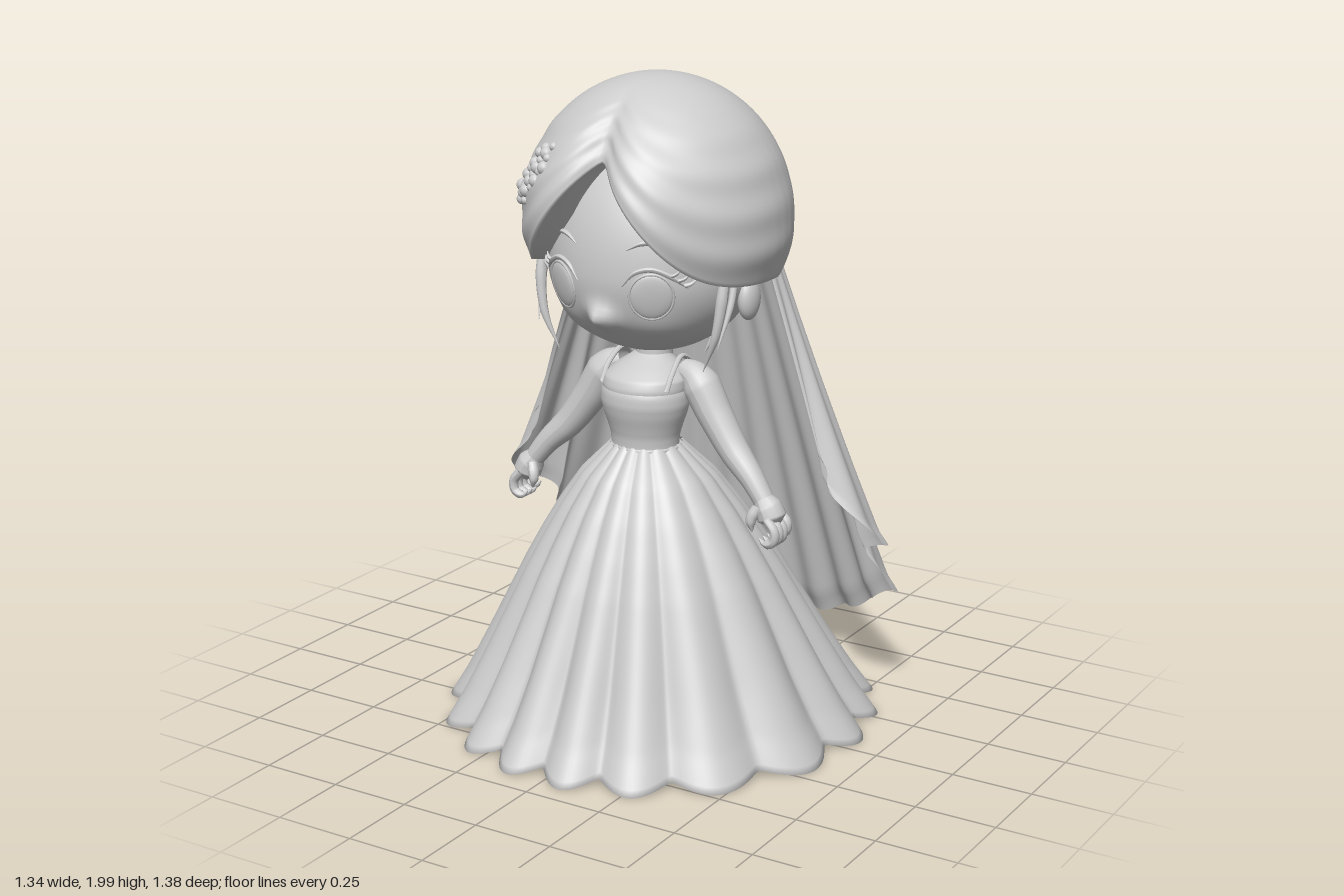
import * as THREE from 'three';
import { mergeVertices } from 'three/addons/utils/BufferGeometryUtils.js';

const V = (x, y, z) => new THREE.Vector3(x, y, z);
const { sin, cos, abs, exp, sqrt, PI, min, max } = Math;
const step = THREE.MathUtils.smoothstep;

// Linear lookup in an evenly spaced list
function along(list, t) {
  const f = min(max(t, 0), 1) * (list.length - 1), i = min(Math.floor(f), list.length - 2);
  return list[i] + (list[i + 1] - list[i]) * (f - i);
}

// Smooth grid surface from a rule fn(u, v) -> point
function surface(fn, nu, nv) {
  const pos = [], idx = [];
  for (let j = 0; j <= nv; j++) for (let i = 0; i <= nu; i++) pos.push(...fn(i / nu, j / nv).toArray());
  for (let j = 0; j < nv; j++) for (let i = 0; i < nu; i++) {
    const a = j * (nu + 1) + i, b = a + nu + 1;
    idx.push(a, b, a + 1, b, b + 1, a + 1);
  }
  const g = new THREE.BufferGeometry();
  g.setAttribute('position', new THREE.Float32BufferAttribute(pos, 3));
  g.setIndex(idx);
  const m = mergeVertices(g, 1e-5);
  m.computeVertexNormals();
  return m;
}

// Tube whose radius follows a list
function taper(points, radii, n = 24, sides = 14) {
  const curve = new THREE.CatmullRomCurve3(points);
  const g = new THREE.TubeGeometry(curve, n, 1, sides), p = g.attributes.position, q = V(0, 0, 0);
  for (let k = 0; k < p.count; k++) {
    const t = Math.floor(k / (sides + 1)) / n, c = curve.getPointAt(t);
    q.fromBufferAttribute(p, k).sub(c).multiplyScalar(along(radii, t)).add(c);
    p.setXYZ(k, q.x, q.y, q.z);
  }
  g.computeVertexNormals();
  return g;
}

const ball = (x, y, z, rx, ry, rz) => new THREE.SphereGeometry(1, 28, 20).scale(rx, ry, rz).translate(x, y, z);

// Front surface of the face at x, y
const faceZ = (x, y) => 0.05 + 0.3 * sqrt(max(0, 1 - (x / 0.315) ** 2 - ((y - 1.45) / (y > 1.45 ? 0.4 : 0.27)) ** 2));

// Hair cap point: longitude a (0 is the front), v 0..1 from crown to hem, above 1 the turned-in rim
function hairPoint(a, v) {
  const d = abs(a) * 180 / PI;
  const hemY = 1.42 + 0.36 * exp(-((d / 30) ** 1.6)) - 0.05 * step(d, 90, 160);
  const w = min(v, 1), c = w * Math.acos((hemY - 1.6) / 0.4);
  const front = 1 - step(d, 70, 130);
  let s = 1 - 0.13 * exp(-((d / 9) ** 2)) * step(c, 0.1, 1.1);
  s += 0.035 * step(w, 0.6, 1) * step(d, 15, 70) * (1 - step(d, 110, 150));
  s += 0.05 * exp(-(((d - 24) / 16) ** 2)) * step(w, 0.35, 0.8);
  s += 0.007 * front * step(w, 0.25, 0.6) * sin(w * 42 + d * 0.03) + 0.003 * (1 - front) * sin(d * 0.8) * w;
  if (v > 1) s *= 1 - (v - 1) * 1.3;
  return V(0.4 * sin(c) * sin(a) * s, 1.6 + 0.4 * cos(c) - (1 - front) * max(v - 1, 0) * 0.05,
    0.02 + (cos(a) > 0 ? 0.39 : 0.38) * sin(c) * cos(a) * s);
}

export function createModel() {
  const model = new THREE.Group();
  const grey = new THREE.MeshStandardMaterial({ color: 0xcccccc, side: THREE.DoubleSide });
  grey.name = 'clay grey';
  const add = (name, geo, parent = model) => {
    const m = new THREE.Mesh(geo, grey);
    m.name = name;
    parent.add(m);
    return m;
  };

  // Pleated skirt with a rolled hem, and its smooth lining
  const skirtR = [0.105, 0.205, 0.275, 0.335, 0.39, 0.44, 0.49, 0.54, 0.59, 0.648];
  const skirtPoint = (a, r, t, y) => V(r * sin(a), y, 0.085 - 0.085 * t + r * cos(a) * (0.95 + 0.085 * t));
  add('skirt', surface((u, v) => {
    const a = u * 2 * PI, t = min(v / 0.94, 1), roll = max(v - 0.94, 0) / 0.06;
    const ph = 9 * a + 0.5 * sin(2 * a + 1) + 0.4 * sin(3 * a);
    const fold = 1.7 * sqrt(abs(sin(ph)) ** 2 + 0.01) - 1.15;
    const r = along(skirtR, t) + (0.005 + 0.034 * t ** 1.3) * fold - 0.04 * roll;
    const y = 0.9 - 0.897 * t + 0.014 * step(t, 0.7, 1) * (1 - fold) + 0.012 * roll;
    return skirtPoint(a, r, t, y);
  }, 288, 50));
  add('skirtLining', surface((u, v) => {
    const t = 0.1 + 0.88 * v;
    return skirtPoint(u * 2 * PI, along(skirtR, t) - 0.025 - 0.025 * t, t, 0.9 - 0.88 * t);
  }, 96, 24));

  // Bodice and upper body
  const bodyShape = (prof, h0, h1) => surface((u, v) => {
    const a = u * 2 * PI, y = h1 + (h0 - h1) * v, r = along(prof, 1 - v);
    return V(r * sin(a), y, 0.095 - 0.05 * step(y, 1.07, 1.2) + r * 0.88 * cos(a));
  }, 48, 24);
  add('bodice', bodyShape([0.112, 0.105, 0.108, 0.118, 0.13, 0.138, 0.136, 0.118], 0.86, 1.095));
  add('chest', bodyShape([0.12, 0.128, 0.132, 0.13, 0.1, 0.06, 0.03], 1.02, 1.19));
  add('neck', new THREE.CylinderGeometry(0.05, 0.058, 0.16, 24).translate(0, 1.2, 0.045));
  add('waistband', new THREE.TorusGeometry(0.104, 0.008, 10, 48).rotateX(PI / 2).scale(1, 1, 0.9).translate(0, 0.89, 0.09));

  // Head with a small nose
  const headGeo = new THREE.SphereGeometry(1, 72, 56), hp = headGeo.attributes.position;
  for (let i = 0; i < hp.count; i++) {
    const x = hp.getX(i) * 0.315, y = 1.45 + hp.getY(i) * (hp.getY(i) > 0 ? 0.4 : 0.27), z = hp.getZ(i);
    const nose = z > 0 ? 0.06 * exp(-((x / 0.04) ** 2) - ((y - 1.325) / 0.04) ** 2) : 0;
    const cheek = z > 0 ? 0.014 * exp(-(((abs(x) - 0.15) / 0.08) ** 2) - ((y - 1.29) / 0.06) ** 2) : 0;
    hp.setXYZ(i, x, y, 0.05 + z * 0.3 + nose + cheek);
  }
  headGeo.computeVertexNormals();
  add('head', headGeo);

  // Hair cap, low bun and hair ornament
  add('hair', surface((u, v) => hairPoint((u * 2 - 1) * PI, v * 1.2), 160, 72));
  add('bun', ball(0, 1.36, -0.14, 0.22, 0.15, 0.14));
  const ornament = new THREE.Group();
  ornament.name = 'hairOrnament';
  model.add(ornament);
  for (let i = 0; i < 9; i++) for (let j = -1; j <= 1; j++) {
    if ((i === 0 || i === 8) && j) continue;
    const t = i / 8, k = j * 0.028 * (0.75 + 0.25 * sin(i * 2.3));
    const x = -0.31 + 0.14 * t + k * 0.8 + 0.006 * sin(i * 5 + j), y = 1.635 + 0.175 * t - k * 0.6;
    const z = 0.02 + 0.385 * sqrt(1 - (x / 0.4) ** 2 - ((y - 1.6) / 0.4) ** 2);
    const r = 0.017 + 0.004 * sin(i * 3 + j * 2);
    add('bead', new THREE.SphereGeometry(r, 12, 8).translate(x, y, z + 0.014), ornament);
  }

  // Paired parts, mirrored by sign s
  for (const s of [1, -1]) {
    const side = new THREE.Group();
    side.name = s > 0 ? 'leftSide' : 'rightSide';
    model.add(side);
    const P = (x, y, z) => V(s * x, y, z);
    const F = (x, y, lift = 0.002) => P(x, y, faceZ(x, y) + lift);

    // Eye, lashes and brow
    const eye = new THREE.Group();
    eye.name = 'eye';
    eye.position.copy(F(0.15, 1.405, -0.007));
    eye.rotation.set(0.18, s * 0.5, 0, 'YXZ');
    side.add(eye);
    add('eyeball', ball(0, 0, 0, 0.062, 0.068, 0.013), eye);
    add('eyeRim', new THREE.TorusGeometry(0.064, 0.004, 8, 40).scale(1, 1.08, 1), eye);
    add('upperLash', taper([F(0.075, 1.435), F(0.11, 1.475), F(0.155, 1.487), F(0.2, 1.468), F(0.24, 1.43)],
      [0.002, 0.007, 0.008, 0.008, 0.002], 24, 8), side);
    for (const [x, y] of [[0.2, 1.467], [0.218, 1.453], [0.232, 1.438]])
      add('lash', taper([F(x, y), F(x + 0.016, y + 0.006, 0.012), F(x + 0.03, y + 0.022, 0.014)], [0.007, 0.005, 0.001], 8, 6), side);
    add('brow', taper([F(0.085, 1.54), F(0.125, 1.56), F(0.165, 1.56), F(0.21, 1.535)], [0.002, 0.008, 0.007, 0.001], 20, 8), side);

    // Ear and loose strands
    add('ear', ball(s * 0.315, 1.365, 0.03, 0.03, 0.065, 0.045), side);
    add('frontStrand', taper([P(0.31, 1.5, 0.16), P(0.312, 1.4, 0.18), P(0.295, 1.28, 0.19), P(0.25, 1.17, 0.18)],
      [0.012, 0.017, 0.012, 0.001]), side);
    add('thinStrand', taper([P(0.32, 1.48, 0.12), P(0.325, 1.38, 0.15), P(0.31, 1.25, 0.2)], [0.012, 0.01, 0.001]), side);
    add('napeStrand', taper([P(0.2, 1.36, -0.06), P(0.17, 1.25, -0.05), P(0.13, 1.16, -0.03)], [0.03, 0.018, 0.001]), side);

    // Shoulder strap and arm
    add('strap', taper([P(0.112, 1.08, 0.16), P(0.112, 1.13, 0.125), P(0.105, 1.168, 0.06), P(0.108, 1.13, 0.0), P(0.1, 1.08, -0.01)],
      [0.008, 0.008], 24, 8), side);
    add('arm', taper([P(0.1, 1.13, 0.05), P(0.15, 1.105, 0.05), P(0.22, 1.0, 0.055), P(0.29, 0.905, 0.065), P(0.36, 0.835, 0.08), P(0.415, 0.765, 0.09)],
      [0.03, 0.058, 0.054, 0.049, 0.044, 0.036, 0.03], 36, 20), side);

    // Hand with curled fingers
    const hand = new THREE.Group();
    hand.name = 'hand';
    side.add(hand);
    add('palm', taper([P(0.4, 0.785, 0.09), P(0.425, 0.75, 0.09), P(0.445, 0.7, 0.09)], [0.028, 0.042, 0.044, 0.01]), hand);
    for (let i = 0; i < 4; i++) {
      const z = 0.052 + i * 0.025, k = i === 0 ? 0.012 : 0;
      add('finger', taper([P(0.435, 0.735, z), P(0.462, 0.7 + k, z), P(0.458, 0.668 + k, z), P(0.43, 0.658 + k, z), P(0.412, 0.672 + k, z)],
        [0.014, 0.015, 0.015, 0.014, 0.002], 16, 10), hand);
    }
    add('thumb', taper([P(0.4, 0.765, 0.115), P(0.385, 0.725, 0.13), P(0.39, 0.69, 0.13)], [0.016, 0.018, 0.015, 0.002], 14, 10), hand);

    // Leg, ankle cuff and shoe
    add('leg', taper([P(0.07, 0.84, 0.07), P(0.1, 0.5, 0.05), P(0.11, 0.25, 0.03), P(0.11, 0.06, 0.02)], [0.06, 0.075, 0.055, 0.04]), side);
    add('ankleCuff', new THREE.TorusGeometry(0.047, 0.012, 10, 28).rotateX(PI / 2).translate(s * 0.11, 0.2, 0.028), side);
    add('shoe', taper([P(0.11, 0.065, -0.045), P(0.11, 0.07, 0), P(0.112, 0.062, 0.07), P(0.115, 0.052, 0.14), P(0.117, 0.045, 0.18)],
      [0.005, 0.045, 0.047, 0.045, 0.046, 0.035, 0.004], 28, 18), side);
  }

  // Long veil: short at the front edges, sweeping to the floor behind
  add('veil', surface((u, v) => {
    const q = (u * 2 - 1) * 98, d = abs(q), a = q * PI / 180;
    const sideways = step(d, 35, 60), wave = cos((d - 80) / 28 * 2 * PI);
    const hem = 0.12 + 0.63 * (d / 90) ** 1.6 - 0.03 * sideways * wave + 0.008 * cos(q / 6 * PI) * (1 - sideways);
    const y = 1.44 + (hem - 1.44) * v, drop = 1.4 - y;
    const big = 0.038 * sideways * wave * v * v;
    const fine = (0.002 + 0.01 * v) * cos(q / 6 * PI + 0.8 * sin(q * 0.07));
    const out = big + fine + 0.012 * step(v, 0.94, 1);
    const rx = 0.34 + 0.36 * drop + out, rz = 0.225 + 0.265 * drop + out;
    return V(rx * sin(a), y, -0.1 - rz * cos(a) + 0.03 * sideways * sin((d - 80) / 28 * 2 * PI) * v * v);
  }, 260, 60));

  return model;
}
